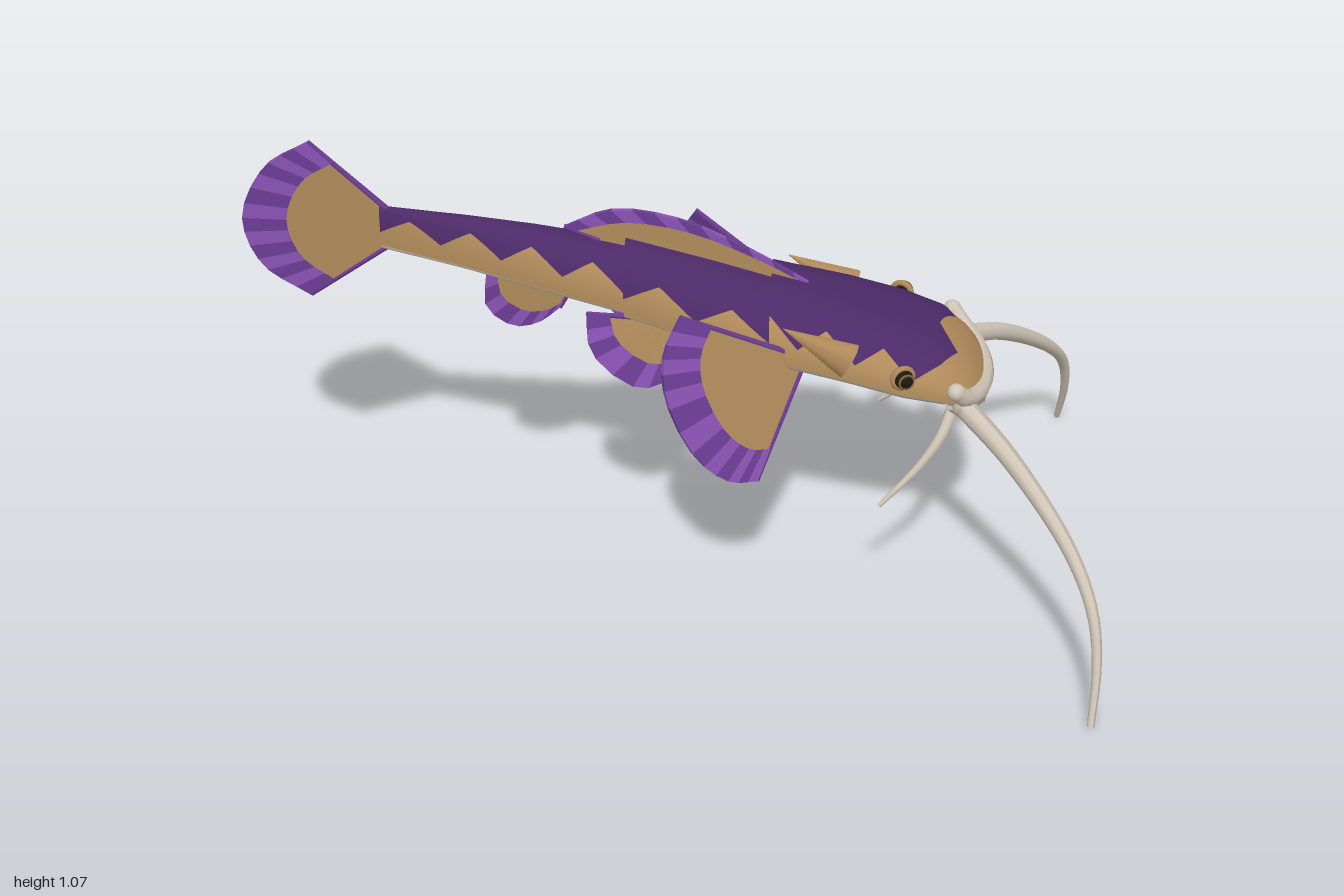
import * as THREE from 'three';

const mat = (name, color) => new THREE.MeshStandardMaterial({ name, color, side: THREE.DoubleSide });
const V = (p) => new THREE.Vector3(...p);
const mirror = (pts, k) => pts.map(([x, y, z]) => [x * k, y, z]);

// Body sections, front to back: [z, half width, side bottom y, top y]
const HEAD = [[0.43, 0.11, 0.515, 0.55], [0.40, 0.155, 0.525, 0.595], [0.34, 0.182, 0.55, 0.642],
  [0.24, 0.195, 0.575, 0.682], [0.12, 0.186, 0.605, 0.722], [0.04, 0.176, 0.62, 0.745], [-0.06, 0.164, 0.638, 0.77]];
const TRUNK = [[0.02, 0.158, 0.63, 0.738], [-0.1, 0.15, 0.65, 0.772], [-0.2, 0.137, 0.67, 0.8],
  [-0.3, 0.12, 0.69, 0.825], [-0.39, 0.103, 0.708, 0.848]];
const REAR = [[-0.32, 0.106, 0.7, 0.815], [-0.45, 0.087, 0.725, 0.838], [-0.6, 0.063, 0.752, 0.865],
  [-0.75, 0.04, 0.782, 0.885], [-0.95, 0.013, 0.816, 0.905]];

// Point on the body skin at length z and angle a (0..PI is the back, PI..2PI the belly)
function skin(rows, z, a, off = 0) {
  let i = 0;
  while (i < rows.length - 2 && z < rows[i + 1][0]) i++;
  const k = (z - rows[i][0]) / (rows[i + 1][0] - rows[i][0]);
  const [w, yb, yt] = [1, 2, 3].map((j) => THREE.MathUtils.lerp(rows[i][j], rows[i + 1][j], k));
  const c = Math.cos(a), s = Math.sin(a);
  const x = Math.sign(c) * Math.pow(Math.abs(c), 0.8) * w;
  return [x + c * off, s >= 0 ? yb + s * (yt - yb + off) : yb + s * (w * 0.12 + 0.01), z];
}

// Grid surface from fn(i, j) giving a point
function surface(nu, nv, fn) {
  const pos = [], idx = [];
  for (let i = 0; i <= nu; i++) for (let j = 0; j <= nv; j++) {
    pos.push(...fn(i, j));
    if (i < nu && j < nv) {
      const a = i * (nv + 1) + j, b = a + nv + 1;
      idx.push(a, b, a + 1, b, b + 1, a + 1);
    }
  }
  const g = new THREE.BufferGeometry();
  g.setAttribute('position', new THREE.Float32BufferAttribute(pos, 3));
  g.setIndex(idx);
  g.computeVertexNormals();
  return g;
}

// Tube along points, tapering from r0 to r1
function taperTube(pts, r0, r1, seg = 20, sides = 8) {
  const curve = new THREE.CatmullRomCurve3(pts.map(V));
  const g = new THREE.TubeGeometry(curve, seg, r0, sides, false), p = g.attributes.position, v = new THREE.Vector3();
  for (let i = 0; i < p.count; i++) {
    const t = Math.floor(i / (sides + 1)) / seg, c = curve.getPointAt(t);
    v.fromBufferAttribute(p, i).sub(c).multiplyScalar(1 + (r1 / r0 - 1) * t).add(c);
    p.setXYZ(i, v.x, v.y, v.z);
  }
  g.computeVertexNormals();
  return g;
}

// Thin flat-sided plates, one per four-cornered outline
function plates(quads, thick) {
  const pos = [];
  for (const q of quads) {
    const n = q[2].clone().sub(q[0]).cross(q[3].clone().sub(q[1])).setLength(thick / 2);
    const f = q.map((p) => p.clone().add(n)), b = q.map((p) => p.clone().sub(n));
    const face = (a, c, d, e) => [a, c, d, a, d, e].forEach((p) => pos.push(p.x, p.y, p.z));
    face(f[0], f[1], f[2], f[3]);
    face(b[3], b[2], b[1], b[0]);
    for (let i = 0; i < 4; i++) face(f[i], b[i], b[(i + 1) % 4], f[(i + 1) % 4]);
  }
  const g = new THREE.BufferGeometry();
  g.setAttribute('position', new THREE.Float32BufferAttribute(pos, 3));
  g.computeVertexNormals();
  return g;
}

export function createModel() {
  const purple = mat('dark purple skin', 0x4c2a68), tan = mat('tan skin', 0xb08a5a);
  const cream = mat('pale belly and whiskers', 0xd0c5b6);
  const violet = mat('violet fin rim', 0x8a52b4), plum = mat('plum fin rim', 0x6c3c94);
  const black = mat('black eye', 0x1d1816), olive = mat('olive iris', 0x7d6630);

  const fish = new THREE.Group();
  fish.name = 'fish';
  const add = (name, geo, m) => {
    const mesh = new THREE.Mesh(geo, m);
    mesh.name = name;
    fish.add(mesh);
  };

  // Body: tan skin, purple zigzag back and pale belly for each overlapping section
  const section = (name, rows, slopes, front, notch, low, high) => {
    const z0 = rows[0][0], z1 = rows[rows.length - 1][0], n = 24, step = 4;
    const at = (k) => z0 + (z1 - z0) * k;
    add(name + 'Sides', surface(n, 24, (i, j) => skin(rows, at(i / n), Math.PI * j / 24)), tan);
    add(name + 'Belly', surface(n, 12, (i, j) => skin(rows, at(i / n), Math.PI * (1 + j / 12))), cream);
    add(name + 'Back', surface(slopes * step, 16, (i, j) => {
      const edge = high + (low - high) * (1 - Math.abs(i % (2 * step) - step) / step);
      const start = front - notch * Math.abs(j % 8 - 4) / 4;
      return skin(rows, start + (z1 - start) * i / (slopes * step), edge + (Math.PI - 2 * edge) * j / 16, 0.006);
    }), purple);
  };
  section('head', HEAD, 6, 0.365, 0.04, 0.36, 0.8);
  section('trunk', TRUNK, 5, 0.02, 0, 0.3, 0.7);
  section('rear', REAR, 9, -0.32, 0, 0.4, 0.9);
  add('snout', surface(1, 24, (i, j) => i ? skin(HEAD, 0.43, Math.PI * 2 * j / 24) : [0, 0.525, 0.44]), tan);

  // Fins: tan web with a rim of alternating rays and a thin ray along both straight edges
  const fin = (name, base, tip, rays, inner) => {
    const bc = new THREE.CatmullRomCurve3(base.map(V)), tc = new THREE.CatmullRomCurve3(tip.map(V));
    const web = [], rims = [[], []];
    for (let i = 0; i < rays; i++) {
      const b = [i, i + 1].map((k) => bc.getPoint(k / rays)), t = [i, i + 1].map((k) => tc.getPoint(k / rays));
      const m = [0, 1].map((k) => b[k].clone().lerp(t[k], inner));
      web.push([b[0], m[0], m[1], b[1]]);
      rims[i % 2].push([m[0], t[0], t[1], m[1]]);
    }
    add(name + 'Web', plates(web, 0.008), tan);
    add(name + 'RimLight', plates(rims[0], 0.012), violet);
    add(name + 'RimDark', plates(rims[1], 0.012), plum);
    add(name + 'FirstEdge', taperTube([base[0], tip[0]], 0.007, 0.006, 2, 6), plum);
    add(name + 'LastEdge', taperTube([base.at(-1), tip.at(-1)], 0.007, 0.006, 2, 6), plum);
  };
  fin('tailFin', [[0, 0.9, -0.93], [0, 0.815, -0.93]],
    [[0, 1.065, -1.1], [0, 1.0, -1.205], [0, 0.87, -1.27], [0, 0.75, -1.235], [0, 0.675, -1.13]], 14, 0.7);
  fin('dorsalFin', [[0, 0.73, 0.04], [0, 0.79, -0.18], [0, 0.845, -0.45]],
    [[0, 0.745, 0.04], [0, 0.835, -0.11], [0, 0.905, -0.27], [0, 0.922, -0.42], [0, 0.875, -0.53]], 12, 0.72);
  fin('analFin', [[0, 0.735, -0.51], [0, 0.765, -0.63]],
    [[0, 0.665, -0.55], [0, 0.625, -0.6], [0, 0.613, -0.66], [0, 0.66, -0.72], [0, 0.75, -0.715]], 9, 0.7);

  for (const [side, k] of [['left', 1], ['right', -1]]) {
    // Pectoral fan lies in one slanted plane
    const inPlane = ([y, z]) => [k * (0.152 - 0.26 * (y - 0.63) - 0.58 * z), y, z];
    fin(side + 'PectoralFin', [[0.62, 0.015], [0.66, -0.02]].map(inPlane),
      [[0.385, -0.085], [0.4, -0.145], [0.47, -0.215], [0.62, -0.28], [0.72, -0.285], [0.795, -0.25]].map(inPlane), 14, 0.72);
    fin(side + 'PelvicFin', mirror([[0.075, 0.67, -0.27], [0.08, 0.69, -0.34]], k),
      mirror([[0.105, 0.555, -0.27], [0.122, 0.53, -0.36], [0.125, 0.62, -0.465], [0.105, 0.71, -0.475]], k), 8, 0.62);

    // Whiskers
    add(side + 'LongWhisker', taperTube(mirror([[0.15, 0.535, 0.37], [0.287, 0.465, 0.486], [0.444, 0.335, 0.612],
      [0.532, 0.235, 0.661], [0.584, 0.13, 0.673], [0.64, 0.005, 0.663]], k), 0.026, 0.008, 28), cream);
    add(side + 'ShortWhisker', taperTube(mirror([[0.12, 0.51, 0.36], [0.165, 0.45, 0.33], [0.192, 0.39, 0.285],
      [0.23, 0.3, 0.192]], k), 0.015, 0.005, 16), cream);

    // Gill spike pointing back and up
    const spike = new THREE.ConeGeometry(0.046, 0.17, 10);
    spike.scale(0.65, 1, 1);
    spike.rotateX(-Math.PI / 2 + 0.5);
    spike.translate(k * 0.172, 0.69, 0.045);
    add(side + 'GillSpike', spike, tan);

    // Eye with socket ring
    const place = (g) => g.rotateY(k * 1.15).translate(k * 0.196, 0.622, 0.24);
    add(side + 'Eye', place(new THREE.SphereGeometry(0.022, 16, 12).translate(0, 0, 0.006)), black);
    add(side + 'Iris', place(new THREE.TorusGeometry(0.017, 0.003, 6, 16).translate(0, 0, 0.02)), olive);
    add(side + 'EyeSocket', place(new THREE.TorusGeometry(0.024, 0.007, 8, 16)), tan);
  }

  // Lips
  const lip = (name, dy, dz, r) => add(name, new THREE.TubeGeometry(new THREE.CatmullRomCurve3(
    [[-0.19, 0.573, 0.36], [-0.168, 0.545, 0.385], [-0.1, 0.528, 0.418], [0, 0.522, 0.432], [0.1, 0.528, 0.418],
      [0.168, 0.545, 0.385], [0.19, 0.573, 0.36]].map(([x, y, z]) => V([x, y + dy, z + dz]))), 32, r, 8), cream);
  lip('upperLip', 0.01, 0, 0.021);
  lip('lowerLip', -0.02, -0.012, 0.016);
  for (const k of [1, -1]) add('lipEnd', new THREE.SphereGeometry(0.021, 10, 8).translate(k * 0.19, 0.583, 0.36), cream);

  // Slight sideways swing of everything behind the head
  fish.traverse((o) => {
    if (!o.isMesh) return;
    const p = o.geometry.attributes.position;
    for (let i = 0; i < p.count; i++) if (p.getZ(i) < 0) p.setX(i, p.getX(i) - 0.044 * p.getZ(i));
  });

  fish.rotation.y = 0.604;
  fish.position.set(-0.113, 0, 0.078);
  const model = new THREE.Group();
  model.name = 'whiskeredFish';
  model.add(fish);
  return model;
}
